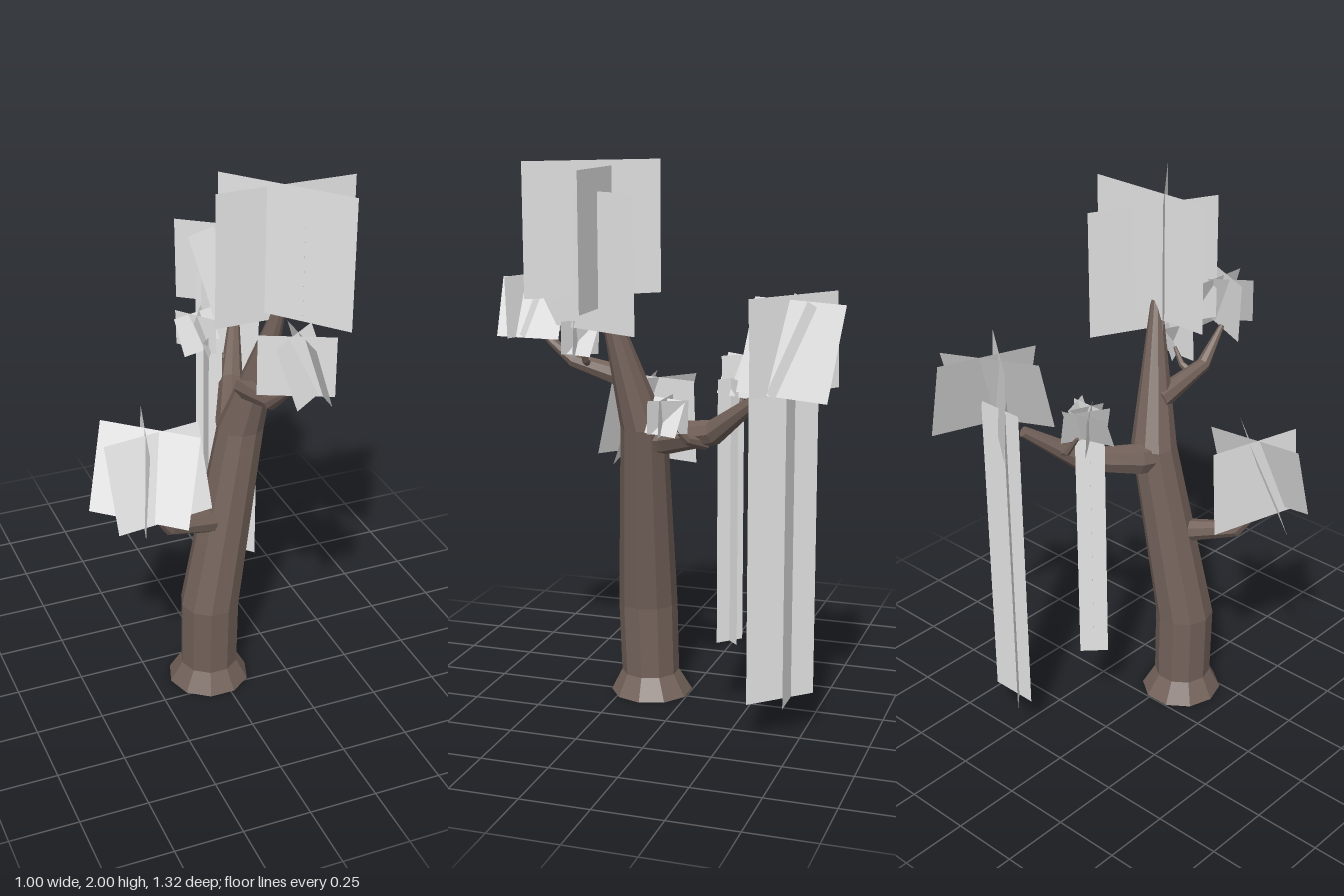
import * as THREE from 'three';

export function createModel() {
  const model = new THREE.Group();
  const bark = new THREE.MeshStandardMaterial({ color: 0x73625a, flatShading: true });
  bark.name = 'bark brown';
  const foliage = new THREE.MeshStandardMaterial({ color: 0xe6e6e6, side: THREE.DoubleSide });
  foliage.name = 'pale foliage';

  // Tapered limb through points [x, y, z, radius], closed at both ends
  function limb(name, points, sides, level = false) {
    const centres = points.map(p => new THREE.Vector3(p[0], p[1], p[2]));
    const pos = [], index = [];
    const ref = level ? new THREE.Vector3(0, 0, 1) : new THREE.Vector3(0.31, 0.2, 0.93);
    centres.forEach((c, i) => {
      const next = centres[Math.min(i + 1, centres.length - 1)];
      const prev = centres[Math.max(i - 1, 0)];
      const t = level ? new THREE.Vector3(0, 1, 0) : next.clone().sub(prev).normalize();
      const r = level || Math.abs(t.dot(ref)) < 0.8 ? ref : new THREE.Vector3(0, 1, 0);
      const u = new THREE.Vector3().crossVectors(r, t).normalize();
      // keep rings aligned along the limb
      if (i > 0 && !level) u.copy(limb.u).addScaledVector(t, -limb.u.dot(t)).normalize();
      limb.u = u.clone();
      const v = new THREE.Vector3().crossVectors(t, u);
      for (let k = 0; k < sides; k++) {
        const a = (k / sides) * Math.PI * 2;
        const q = c.clone().addScaledVector(u, Math.cos(a) * points[i][3])
          .addScaledVector(v, Math.sin(a) * points[i][3]);
        pos.push(q.x, q.y, q.z);
      }
    });
    const rings = points.length;
    for (let i = 0; i < rings - 1; i++) {
      for (let k = 0; k < sides; k++) {
        const a = i * sides + k, b = i * sides + (k + 1) % sides;
        index.push(a, b, b + sides, a, b + sides, a + sides);
      }
    }
    const end = (rings - 1) * sides;
    for (let k = 1; k < sides - 1; k++) {
      index.push(0, k + 1, k, end, end + k, end + k + 1);
    }
    const g = new THREE.BufferGeometry();
    g.setAttribute('position', new THREE.Float32BufferAttribute(pos, 3));
    g.setIndex(index);
    const flat = g.toNonIndexed();
    flat.computeVertexNormals();
    const mesh = new THREE.Mesh(flat, bark);
    mesh.name = name;
    model.add(mesh);
  }

  // Flat card: centre, horizontal span (dx, dz), height, lean of its top edge (lx, lz)
  function card(group, [x, y, z, dx, dz, h, lx = 0, lz = 0]) {
    const g = new THREE.PlaneGeometry(1, 1);
    const across = new THREE.Vector3(dx, 0, dz);
    const up = new THREE.Vector3(lx, h, lz);
    const normal = new THREE.Vector3().crossVectors(across, up).normalize();
    g.applyMatrix4(new THREE.Matrix4().makeBasis(across, up, normal).setPosition(x, y, z));
    g.computeVertexNormals();
    const mesh = new THREE.Mesh(g, foliage);
    mesh.name = 'leafCard';
    group.add(mesh);
  }

  function cluster(name, cards) {
    const group = new THREE.Group();
    group.name = name;
    cards.forEach(c => card(group, c));
    model.add(group);
  }

  // Trunk with flared foot, bending and tapering to the crown
  limb('trunk', [
    [-0.035, 0, 0.15, 0.153], [-0.035, 0.08, 0.155, 0.108], [-0.035, 0.35, 0.163, 0.11],
    [0.095, 1.05, 0.13, 0.085], [0.19, 1.57, 0.25, 0.02],
  ], 10, true);

  // Branches and their twigs
  limb('backBranch', [
    [0.085, 1.01, 0.12, 0.065], [0.1, 1.02, 0.04, 0.06], [0.18, 1.07, -0.16, 0.045], [0.275, 1.23, -0.36, 0.02],
  ], 8);
  limb('backInnerTwig', [[0.21, 1.12, -0.24, 0.018], [0.17, 1.14, -0.25, 0.014], [0.12, 1.21, -0.245, 0.006]], 6);
  limb('backOuterTwig', [[0.16, 1.02, -0.12, 0.022], [0.25, 1.05, -0.08, 0.016], [0.29, 1.1, -0.05, 0.006]], 6);
  limb('sideBranch', [
    [-0.01, 0.7, 0.17, 0.045], [-0.22, 0.76, 0.24, 0.03], [-0.31, 0.87, 0.27, 0.01],
  ], 8);
  limb('frontBranch', [
    [0.1, 1.22, 0.16, 0.045], [0.09, 1.28, 0.4, 0.027], [0.11, 1.39, 0.53, 0.01],
  ], 8);
  limb('frontTwig', [[0.09, 1.265, 0.34, 0.016], [0.14, 1.29, 0.335, 0.012], [0.175, 1.35, 0.335, 0.006]], 6);

  // Leaf clusters of three crossed cards
  cluster('crownLeaves', [
    [0.18, 1.765, 0.285, 0.32, 0.39, 0.47],
    [0.207, 1.74, 0.23, 0.505, 0, 0.48],
    [0.246, 1.66, 0.298, 0.221, -0.455, 0.48],
  ]);
  cluster('backLeaves', [
    [0.274, 1.41, -0.467, 0.305, 0.23, 0.33, -0.01, 0.012],
    [0.305, 1.41, -0.44, 0.323, -0.154, 0.3, -0.06, -0.122],
    [0.347, 1.405, -0.47, -0.12, 0.34, 0.31, -0.1, -0.036],
  ]);
  cluster('backInnerLeaves', [
    [0.07, 1.26, -0.238, 0.105, 0.137, 0.14, -0.006, 0.005],
    [0.077, 1.26, -0.235, 0.165, -0.049, 0.13, -0.018, -0.06],
    [0.1, 1.26, -0.225, -0.084, 0.145, 0.14, -0.048, -0.028],
  ]);
  cluster('backOuterLeaves', [
    [0.29, 1.14, -0.017, 0.14, 0.004, 0.13, 0, -0.006],
    [0.308, 1.14, -0.02, -0.05, 0.128, 0.12, -0.052, -0.02],
    [0.315, 1.14, -0.033, 0.053, 0.13, 0.125, 0.034, -0.014],
  ]);
  cluster('sideLeaves', [
    [-0.31, 1.0, 0.228, -0.095, 0.354, 0.32, 0.018, 0.005],
    [-0.32, 1.01, 0.263, 0.277, 0.246, 0.3, 0.08, -0.09],
    [-0.277, 1.005, 0.295, 0.361, -0.049, 0.3, -0.013, -0.098],
  ]);
  cluster('frontLeaves', [
    [0.11, 1.48, 0.547, 0.232, 0.109, 0.22, -0.004, 0.008],
    [0.134, 1.48, 0.555, 0.19, -0.14, 0.2, -0.05, -0.067],
    [0.163, 1.475, 0.533, -0.01, 0.242, 0.21, -0.063, -0.003],
  ]);
  cluster('frontTwigLeaves', [
    [0.16, 1.38, 0.342, 0.144, 0.005, 0.13, 0, -0.006],
    [0.185, 1.38, 0.335, -0.05, 0.128, 0.12, -0.052, -0.02],
    [0.19, 1.38, 0.335, 0.06, 0.12, 0.125, 0.034, -0.017],
  ]);

  // Long hanging vines of two crossed cards
  cluster('longVine', [
    [0.275, 0.755, -0.465, 0.185, 0, 1.21],
    [0.277, 0.755, -0.433, 0.182, 0.195, 1.21],
  ]);
  cluster('shortVine', [
    [0.106, 0.765, -0.198, 0.074, 0.075, 0.97],
    [0.106, 0.765, -0.198, 0.074, -0.075, 0.97],
  ]);

  return model;
}
